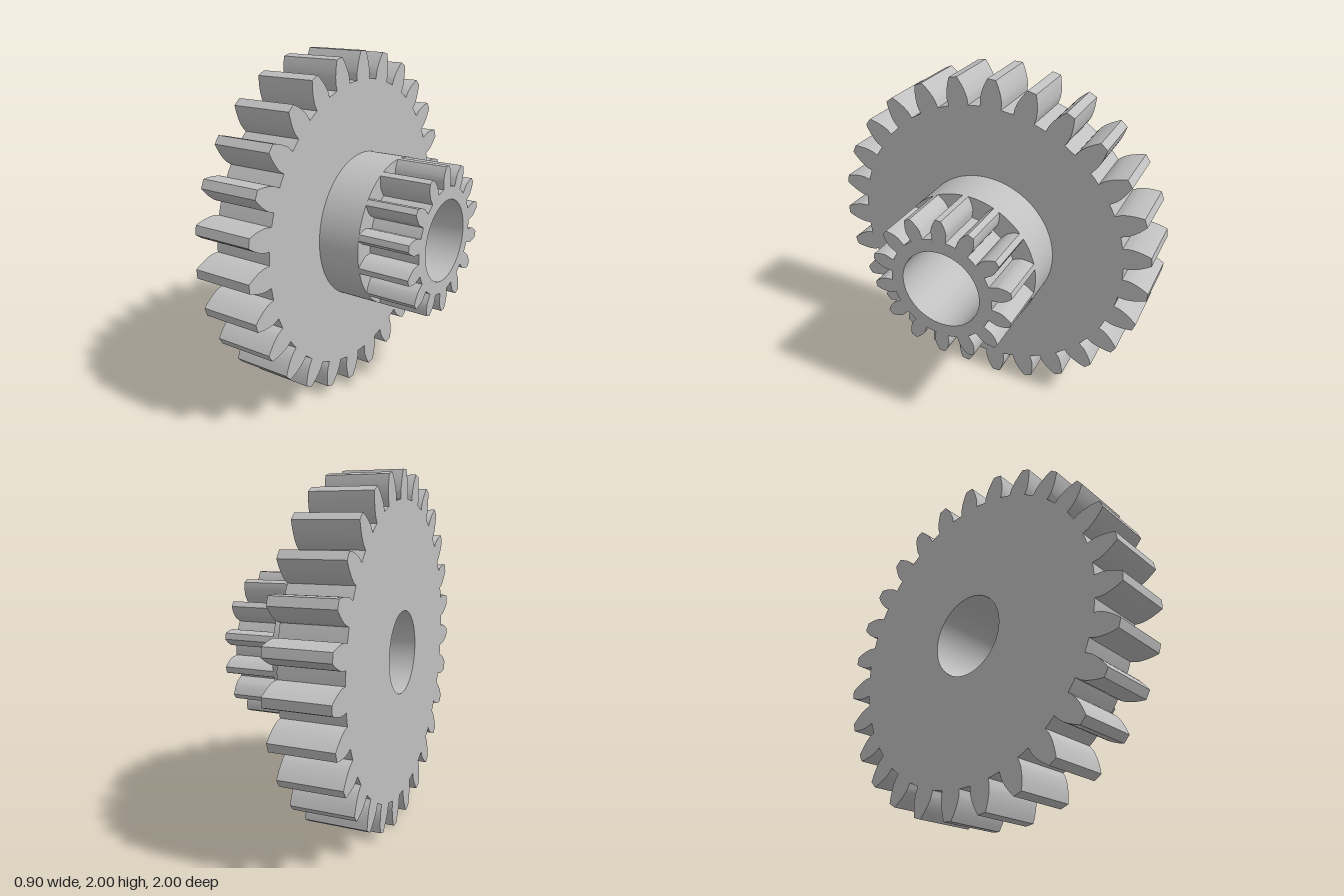
import * as THREE from 'three';
import { toCreasedNormals } from 'three/addons/utils/BufferGeometryUtils.js';

const BORE = 0.235;
const DEG = Math.PI / 180;

// Involute gear outline (20 degree pressure angle); phase is the first tooth's angle.
function gearShape(teeth, tip, phase) {
  const module = (2 * tip) / (teeth + 2);
  const pitch = (module * teeth) / 2;
  const root = pitch - 1.25 * module;
  const base = pitch * Math.cos(20 * DEG);
  const inv = (r) => {
    const a = Math.acos(Math.min(1, base / r));
    return Math.tan(a) - a;
  };
  const halfAtBase = Math.PI / (2 * teeth) + inv(pitch);
  const flank = [[root, halfAtBase]];
  const steps = 8;
  for (let i = 0; i <= steps; i++) {
    const r = base + (tip - base) * (i / steps) ** 1.5;
    flank.push([r, halfAtBase - inv(r)]);
  }
  const points = [];
  const add = (r, a) => points.push(new THREE.Vector2(r * Math.cos(a), r * Math.sin(a)));
  for (let t = 0; t < teeth; t++) {
    const centre = phase + (t * 2 * Math.PI) / teeth;
    flank.forEach(([r, a]) => add(r, centre - a)); // up one flank
    add(tip, centre);
    [...flank].reverse().forEach(([r, a]) => add(r, centre + a)); // down the other
    add(root, centre + Math.PI / teeth); // middle of the valley
  }
  return new THREE.Shape(points);
}

// Extrudes an outline along x between two positions, with the shaft bore cut out.
function slice(name, shape, x0, x1, material) {
  const bore = new THREE.Path();
  bore.absarc(0, 0, BORE, 0, Math.PI * 2, true);
  shape.holes.push(bore);
  const extruded = new THREE.ExtrudeGeometry(shape, {
    depth: x1 - x0, bevelEnabled: false, curveSegments: 72,
  });
  extruded.rotateY(Math.PI / 2);
  const mesh = new THREE.Mesh(toCreasedNormals(extruded, 25 * DEG), material);
  mesh.name = name;
  mesh.position.set(x0, 1, 0);
  return mesh;
}

export function createModel() {
  const group = new THREE.Group();
  group.name = 'compoundGear';
  const steel = new THREE.MeshStandardMaterial({ color: 0xc0c0c0 });
  steel.name = 'light grey';

  const collar = new THREE.Shape();
  collar.absarc(0, 0, 0.43, 0, Math.PI * 2, false);

  group.add(
    slice('largeGear', gearShape(27, 1, 88.4 * DEG), -0.45, -0.1, steel),
    slice('collar', collar, -0.1, 0.15, steel),
    slice('smallGear', gearShape(14, 0.43, 90 * DEG), 0.15, 0.45, steel),
  );
  return group;
}
